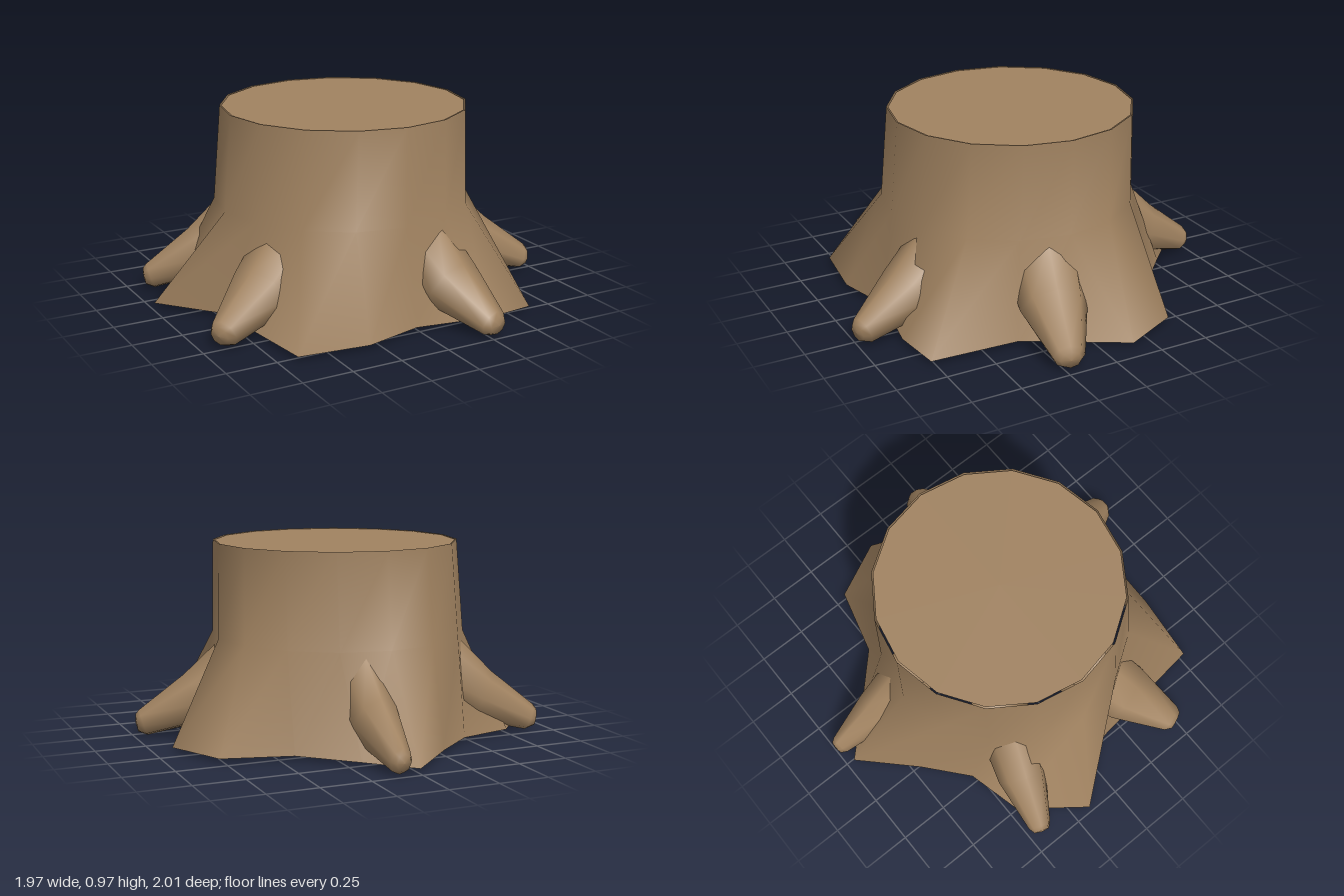
import * as THREE from 'three';

const bark = new THREE.MeshStandardMaterial({ color: 0xa08260, side: THREE.DoubleSide });
bark.name = 'brown bark';

// Skin a series of closed rings, each with the same number of points
function loft(rings) {
  const n = rings[0].length, index = [];
  for (let r = 0; r < rings.length - 1; r++) {
    for (let k = 0; k < n; k++) {
      const a = r * n + k, b = r * n + (k + 1) % n;
      index.push(a, a + n, b, a + n, b + n, b);
    }
  }
  const geometry = new THREE.BufferGeometry().setFromPoints(rings.flat());
  geometry.setIndex(index);
  geometry.computeVertexNormals();
  return geometry;
}

function addMesh(group, name, geometry) {
  const mesh = new THREE.Mesh(geometry, bark);
  mesh.name = name;
  group.add(mesh);
  return mesh;
}

// Ragged flare at the ground, as x, z pairs from the back round by the left
const FLARE = [
  [-0.01, -0.96], [0.19, -0.76], [0.43, -0.53], [0.77, -0.44],
  [0.91, -0.15], [0.64, 0.32], [0.62, 0.77], [0.36, 0.8],
  [-0.01, 0.74], [-0.31, 0.82], [-0.66, 0.78], [-0.74, 0.13],
  [-0.98, -0.16], [-0.75, -0.46], [-0.47, -0.53], [-0.26, -0.71],
];

function circle(radius, cx, y, cz) {
  return FLARE.map((_, k) => {
    const a = (k / FLARE.length) * Math.PI * 2;
    return new THREE.Vector3(cx + radius * Math.sin(a), y, cz - radius * Math.cos(a));
  });
}

// Root stations: distance along, height, width factor, half thickness, lean.
// Roots start wide and open inside the trunk and bend outwards to a blunt tip.
const STATIONS = [
  [0, 0.36, 1.12, 0.24, 1.07],
  [0.52, 0.185, 0.97, 0.135, 0.45],
  [0.94, 0.066, 0.45, 0.068, 0.3],
  [0.99, 0.064, 0.3, 0.045, 0.15],
  [1, 0.064, 0, 0, 0],
];

function rootGeometry([x0, z0, x1, z1, halfWidth]) {
  const start = new THREE.Vector3(x0, 0, z0);
  const along = new THREE.Vector3(x1 - x0, 0, z1 - z0);
  const out = along.clone().normalize();
  const side = new THREE.Vector3(out.z, 0, -out.x);
  return loft(STATIONS.map(([t, y, w, thick, lean]) => {
    const up = new THREE.Vector3(0, Math.cos(lean), 0).addScaledVector(out, Math.sin(lean));
    return Array.from({ length: 8 }, (_, k) => {
      const a = (k / 8) * Math.PI * 2;
      const p = start.clone().addScaledVector(along, t).addScaledVector(up, thick * Math.cos(a));
      p.y += y;
      return p.addScaledVector(side, w * halfWidth * Math.sin(a));
    });
  }));
}

// Each root: start x, z, tip x, z, half width
const ROOTS = {
  backRoot: [0.1, -0.38, 0.09, -1, 0.12],
  leftRoot: [0.37, 0.08, 0.985, 0.235, 0.17],
  frontRoot: [0.13, 0.4, 0.28, 1, 0.16],
  rightFrontRoot: [-0.34, 0.2, -0.92, 0.49, 0.17],
  rightBackRoot: [-0.35, -0.25, -0.93, -0.44, 0.13],
};

export function createModel() {
  const group = new THREE.Group();
  group.name = 'treeStump';

  // Trunk wall, open underneath
  addMesh(group, 'trunk', loft([
    FLARE.map(([x, z]) => new THREE.Vector3(x, 0.02, z)),
    circle(0.64, -0.03, 0.5, 0.03),
    circle(0.615, -0.01, 0.97, 0.02),
  ]));

  // Cut top
  const top = addMesh(group, 'cutTop', new THREE.CircleGeometry(0.607, 16));
  top.rotation.x = -Math.PI / 2;
  top.position.set(-0.01, 0.967, 0.02);

  // Roots
  for (const [name, spec] of Object.entries(ROOTS)) addMesh(group, name, rootGeometry(spec));
  return group;
}
